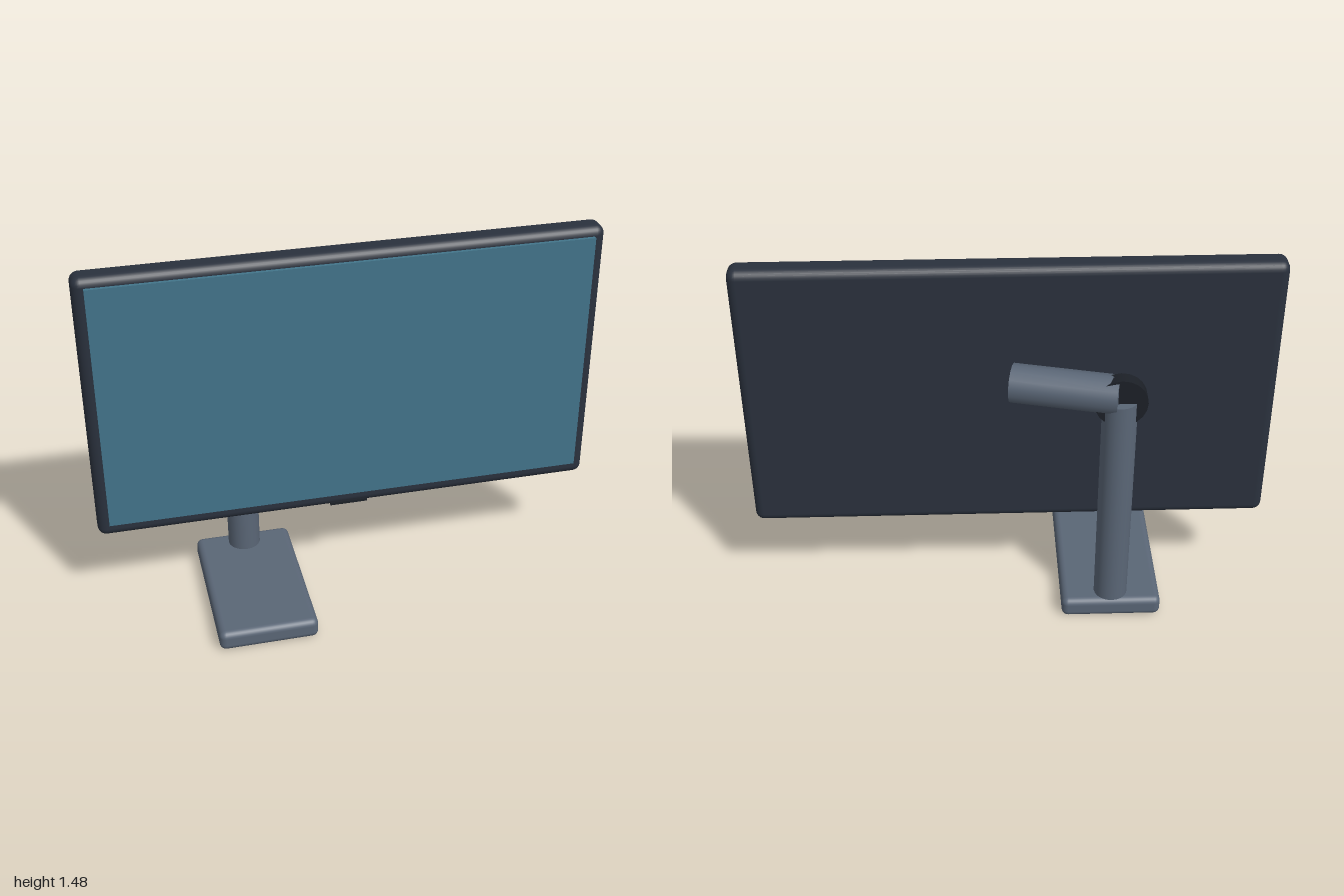
import * as THREE from 'three';
import { RoundedBoxGeometry } from 'three/addons/geometries/RoundedBoxGeometry.js';

const material = (color) => new THREE.MeshStandardMaterial({ color });

export function createModel() {
  const model = new THREE.Group();
  const casing = material(0x2a313d);
  const metal = material(0x5a6676);
  const glass = material(0x42748a);
  const dark = material(0x1c2027);

  const add = (name, geometry, mat, x, y, z) => {
    const mesh = new THREE.Mesh(geometry, mat);
    mesh.name = name;
    mesh.position.set(x, y, z);
    model.add(mesh);
    return mesh;
  };

  // Display: rounded casing, thin glass panel and chin strip
  add('casing', new RoundedBoxGeometry(2, 1.11, 0.106, 3, 0.034), casing, 0, 0.92, -0.079);
  add('screen', new THREE.BoxGeometry(1.91, 1.015, 0.014), glass, 0, 0.932, -0.019);
  add('chinStrip', new THREE.BoxGeometry(0.15, 0.01, 0.014), dark, -0.005, 0.392, -0.009);

  // Stand: flat base and upright post, offset to one side
  add('base', new RoundedBoxGeometry(0.392, 0.083, 0.654, 3, 0.026), metal, -0.398, 0.0415, 0.002);
  add('post', new THREE.CylinderGeometry(0.066, 0.066, 0.915, 20), metal, -0.398, 0.5425, -0.259);

  // Pivot disc at the top of the post
  const disc = add('pivotDisc', new THREE.CylinderGeometry(0.098, 0.098, 0.055, 20), dark, -0.4, 1.0, -0.263);
  disc.rotation.x = Math.PI / 2;

  // Arm running from the pivot to the middle of the casing's back
  const start = new THREE.Vector3(-0.395, 1.02, -0.26);
  const end = new THREE.Vector3(-0.007, 1.02, -0.165);
  const along = end.clone().sub(start);
  const centre = start.clone().lerp(end, 0.5);
  const arm = add('arm', new THREE.CylinderGeometry(0.074, 0.074, along.length(), 14), metal, centre.x, centre.y, centre.z);
  arm.quaternion.setFromUnitVectors(new THREE.Vector3(0, 1, 0), along.normalize());

  return model;
}
